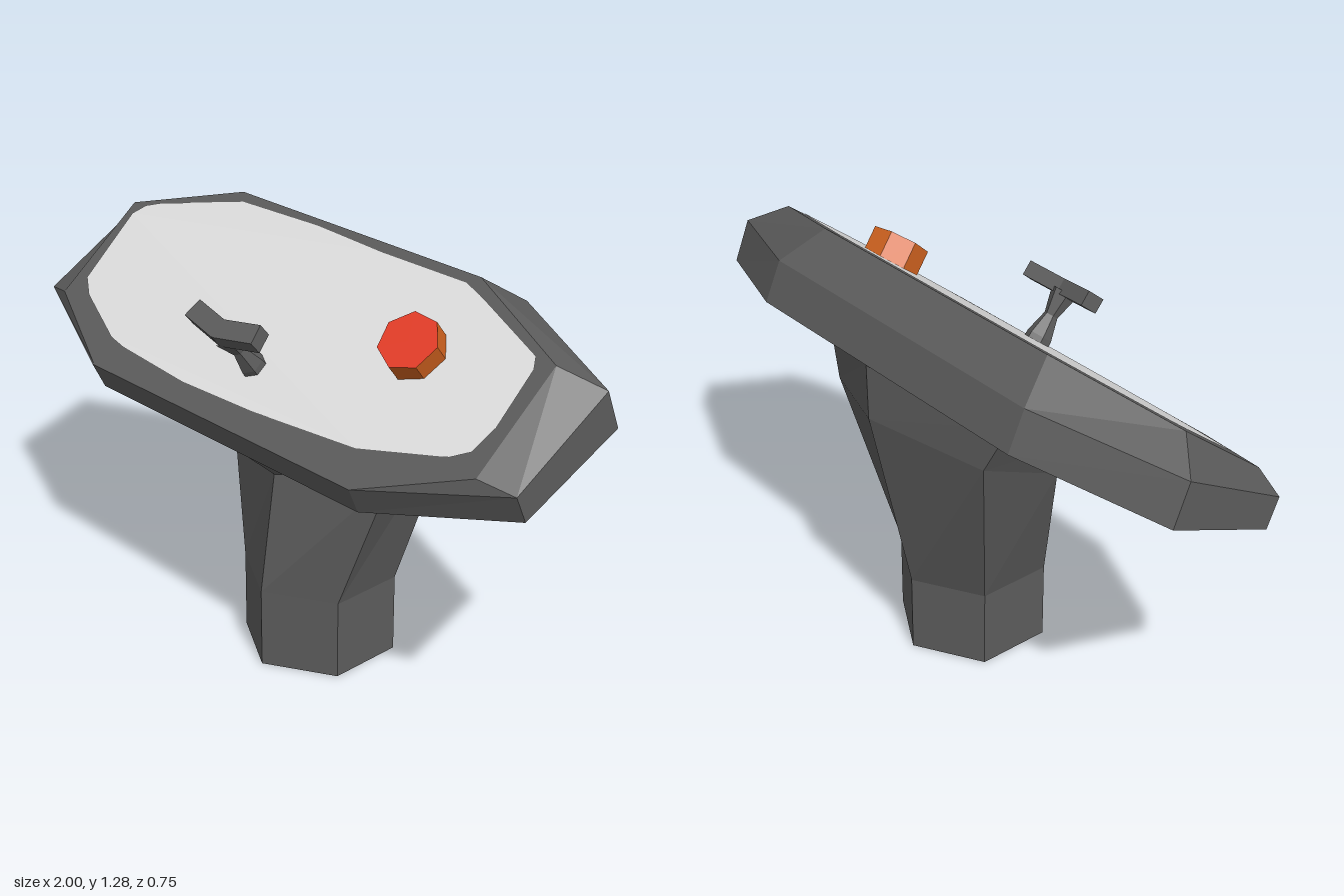
import * as THREE from 'three';

const shell = new THREE.MeshStandardMaterial({ name: 'dark grey', color: 0x5c5c5c, flatShading: true });
const light = new THREE.MeshStandardMaterial({ name: 'light grey', color: 0xe0e0e0, flatShading: true });
const red = new THREE.MeshStandardMaterial({ name: 'red', color: 0xe23a24, flatShading: true });
const orange = new THREE.MeshStandardMaterial({ name: 'orange', color: 0xd0621f, flatShading: true });

// Height of the sloped desk top at depth z
const deskY = z => 0.84 + (0.373 - z) * 0.775;

// Joins rings of points (bottom to top, counterclockwise from above) and caps both ends
function loft(rings) {
  const pos = [];
  const tri = (...pts) => pts.forEach(p => pos.push(...p));
  for (let r = 0; r + 1 < rings.length; r++) {
    const a = rings[r], b = rings[r + 1], n = a.length;
    for (let i = 0; i < n; i++) {
      const j = (i + 1) % n;
      tri(a[i], a[j], b[j]);
      tri(a[i], b[j], b[i]);
    }
  }
  const bottom = rings[0], top = rings[rings.length - 1];
  for (let i = 1; i + 1 < top.length; i++) {
    tri(top[0], top[i], top[i + 1]);
    tri(bottom[0], bottom[i + 1], bottom[i]);
  }
  const g = new THREE.BufferGeometry();
  g.setAttribute('position', new THREE.Float32BufferAttribute(pos, 3));
  g.computeVertexNormals();
  return g;
}

// Eight-sided ring from its four right-hand corners, front to back
const octagon = half => [...half, ...half.slice().reverse().map(([x, y, z]) => [-x, y, z])];

// Six-sided ring: half width, then [y, z] of front, side front, side back and back corners
const pedestalX = 0.063;
function hexagon(w, [f, sf, sb, b]) {
  return [[0, f], [w, sf], [w, sb], [0, b], [-w, sb], [-w, sf]]
    .map(([x, [y, z]]) => [pedestalX + x, y, z]);
}

export function createModel() {
  const model = new THREE.Group();
  model.name = 'controlDesk';
  const add = (name, geometry, material, parent = model) => {
    const mesh = new THREE.Mesh(geometry, material);
    mesh.name = name;
    parent.add(mesh);
    return mesh;
  };

  // Pedestal: upright foot, leaning column, flare under the desk
  add('pedestal', loft([
    hexagon(0.21, [[0, 0.25], [0, 0.13], [0, -0.11], [0, -0.23]]),
    hexagon(0.21, [[0.255, 0.25], [0.255, 0.13], [0.255, -0.11], [0.255, -0.23]]),
    hexagon(0.345, [[0.634, 0.193], [0.70, 0.054], [0.824, -0.227], [0.89, -0.37]]),
    hexagon(0.425, [[0.757, 0.33], [0.836, 0.16], [0.988, -0.2], [1.07, -0.372]]),
  ]), shell);

  // Desk: wedge-shaped slab with a bevelled top
  add('desk', loft([
    octagon([[0.56, 0.756, 0.335], [1, 0.835, 0.16], [1, 0.988, -0.2], [0.56, 1.07, -0.375]]),
    octagon([[0.565, 0.84, 0.375], [1, 0.922, 0.2], [1, 1.113, -0.147], [0.56, 1.19, -0.32]]),
    octagon([[0.56, 0.842, 0.373], [0.89, 0.947, 0.235], [0.89, 1.176, -0.06], [0.5, 1.278, -0.19]]),
  ]), shell);

  // Screen: thin irregular panel lying on the slope, outline as [x, z]
  const outline = [
    [-0.86, -0.027], [-0.85, 0.08], [-0.84, 0.18], [-0.78, 0.22], [-0.57, 0.295], [-0.5, 0.305], [-0.2, 0.32],
    [0.1, 0.313], [0.5, 0.288], [0.78, 0.22], [0.83, 0.19], [0.85, 0.12], [0.84, -0.03], [0.82, -0.06],
    [0.56, -0.14], [0.47, -0.163], [0.14, -0.162], [-0.14, -0.17], [-0.47, -0.162], [-0.78, -0.08], [-0.83, -0.06],
  ];
  const panel = new THREE.ShapeGeometry(new THREE.Shape(outline.map(([x, z]) => new THREE.Vector2(x, -z))));
  const p = panel.attributes.position;
  for (let i = 0; i < p.count; i++) {
    const z = -p.getY(i);
    p.setXYZ(i, p.getX(i), deskY(z) + 0.005, z);
  }
  panel.computeVertexNormals();
  add('screen', panel, light);

  // Push button: seven-sided, red cap on orange sides
  const axis = new THREE.Vector3(0.12, 0.75, 0.65).normalize();
  const button = add('button', new THREE.CylinderGeometry(0.092, 0.092, 0.1, 7), [orange, red, orange]);
  button.quaternion.setFromUnitVectors(new THREE.Vector3(0, 1, 0), axis);
  button.position.set(0.49, 1.163, 0.082).addScaledVector(axis, -0.05);

  // Lever: waisted stem with a bent crossbar
  const lever = new THREE.Group();
  lever.name = 'lever';
  lever.position.set(0, 0.96, 0.205);
  lever.rotation.x = 0.69;
  model.add(lever);
  const profile = [[0.042, -0.01], [0.04, 0.03], [0.022, 0.1], [0.042, 0.18]];
  add('leverStem', new THREE.LatheGeometry(profile.map(q => new THREE.Vector2(...q)), 6), shell, lever);
  for (const side of [1, -1]) {
    const bar = add('leverCrossbar', new THREE.BoxGeometry(0.145, 0.048, 0.062), shell, lever);
    bar.position.set(side * 0.066, 0.19, -0.01);
    bar.rotation.y = side * 0.2;
  }
  return model;
}
